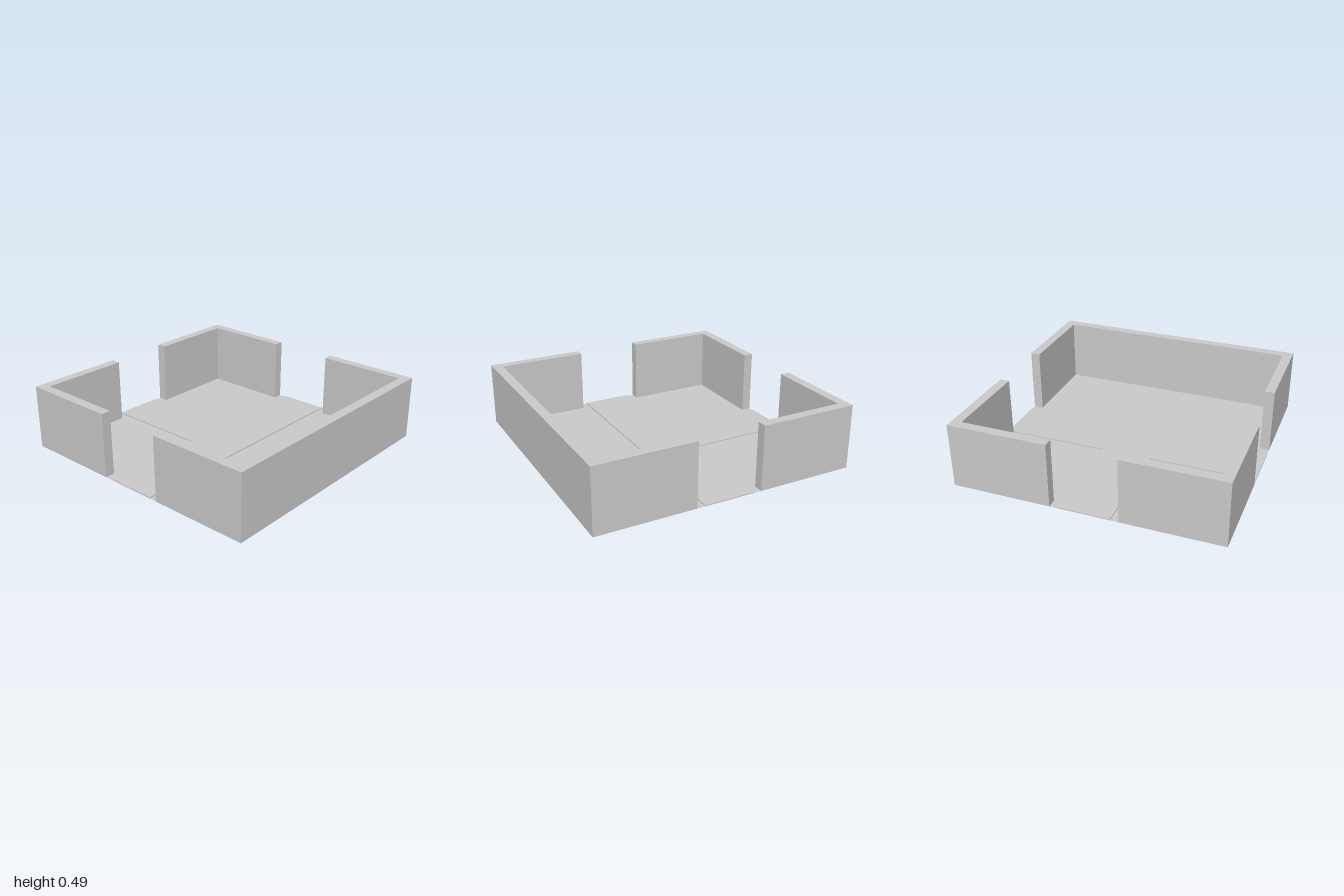
import * as THREE from 'three';

const OUT = 1, IN = 0.927;      // outer and inner wall faces
const DOOR = 0.253;             // half width of the doorways
const PATH = 0.193;             // half width of the raised paths
const WALL_H = 0.49, PATH_H = 0.008;

const material = new THREE.MeshStandardMaterial({ color: 0xcccccc, side: THREE.DoubleSide });

// Plan outline given as [x, z] pairs, drawn so that z ends up pointing to the front
const plan = (points) => new THREE.Shape(points.map(([x, z]) => new THREE.Vector2(x, -z)));

function addPart(group, name, geometry) {
  geometry.rotateX(-Math.PI / 2);
  const mesh = new THREE.Mesh(geometry, material);
  mesh.name = name;
  group.add(mesh);
}

// Upright shell with sides and a top, open underneath
function shell(points, height) {
  const solid = new THREE.ExtrudeGeometry(plan(points), { depth: height, bevelEnabled: false });
  const skip = solid.groups[0].count / 2; // the lower cap comes first
  const open = new THREE.BufferGeometry();
  for (const key of ['position', 'normal']) {
    const array = solid.attributes[key].array.slice(skip * 3);
    open.setAttribute(key, new THREE.BufferAttribute(array, 3));
  }
  return open;
}

const flat = (points) => new THREE.ShapeGeometry(plan(points));
const mirrored = (points, s) => points.map(([x, z]) => [x * s, z]);

export function createModel() {
  const room = new THREE.Group();
  room.name = 'room';

  // U-shaped wall along the front
  addPart(room, 'frontWall', shell([
    [-OUT, DOOR], [-IN, DOOR], [-IN, IN], [IN, IN],
    [IN, DOOR], [OUT, DOOR], [OUT, OUT], [-OUT, OUT],
  ], WALL_H));

  // Floor in front of the path, reaching into both side doorways
  addPart(room, 'frontFloor', flat([
    [-OUT, PATH], [OUT, PATH], [OUT, DOOR], [IN, DOOR],
    [IN, IN], [-IN, IN], [-IN, DOOR], [-OUT, DOOR],
  ]));

  // Back corners: L-shaped wall and the floor it encloses
  for (const [side, s] of [['left', 1], ['right', -1]]) {
    addPart(room, side + 'BackWall', shell(mirrored([
      [DOOR, -OUT], [OUT, -OUT], [OUT, -DOOR],
      [IN, -DOOR], [IN, -IN], [DOOR, -IN],
    ], s), WALL_H));
    addPart(room, side + 'BackFloor', flat(mirrored([
      [PATH, -OUT], [DOOR, -OUT], [DOOR, -IN], [IN, -IN],
      [IN, -DOOR], [OUT, -DOOR], [OUT, -PATH], [PATH, -PATH],
    ], s)));
  }

  // Slightly raised T-shaped path joining the three doorways
  addPart(room, 'path', shell([
    [-OUT, -PATH], [-PATH, -PATH], [-PATH, -OUT], [PATH, -OUT],
    [PATH, -PATH], [OUT, -PATH], [OUT, PATH], [-OUT, PATH],
  ], PATH_H));

  return room;
}
